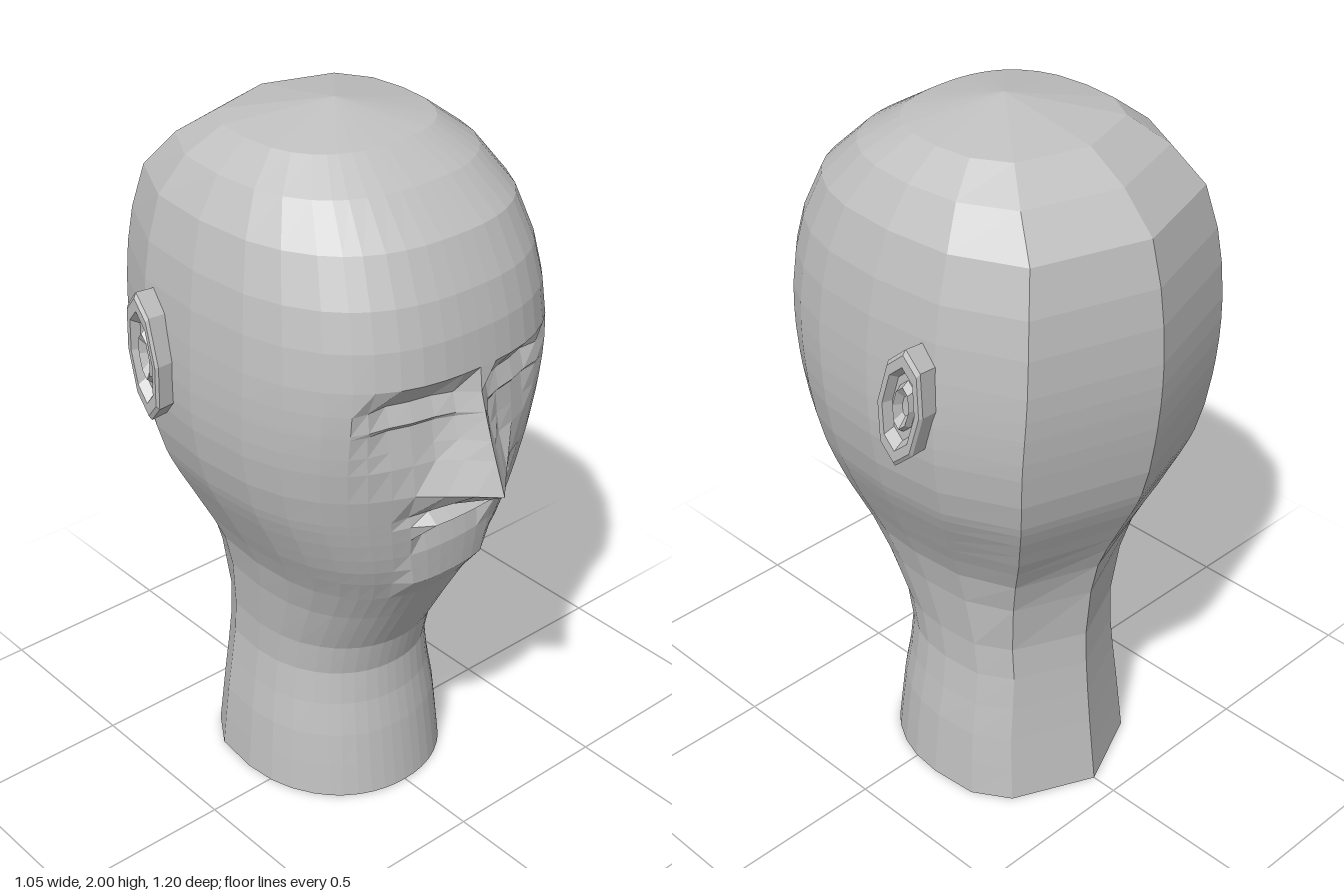
import * as THREE from 'three';

const { clamp } = THREE.MathUtils;

// Head profile by height: half width, front z, back z, smoothed between the knots
const KNOTS = [0, .2, .4, .5, .75, .87, 1.05, 1.22, 1.46, 1.66, 1.78, 1.88, 1.95];
const HALF_WIDTH = [.305, .288, .26, .262, .305, .36, .44, .475, .475, .45, .415, .35, .26];
const FRONT = [.255, .23, .205, .23, .365, .41, .445, .475, .498, .458, .4, .292, .178];
const BACK = [-.425, -.4, -.38, -.375, -.41, -.465, -.55, -.585, -.6, -.578, -.545, -.45, -.34];
const [widthAt, frontAt, backAt] = [HALF_WIDTH, FRONT, BACK].map((values) => {
  const spline = new THREE.CubicInterpolant(KNOTS, values, 1, [0]);
  return (y) => spline.evaluate(y)[0];
});

// Heights of the edge loops: neck, jaw and mouth, nose and eyes, skull
const LOOPS = [0, .1, .2, .3, .4, .5, .65, .75, .82, .87, .92, .975, 1.02, 1.05,
  1.13, 1.22, 1.27, 1.33, 1.342, 1.395, 1.46, 1.56, 1.66, 1.78, 1.88, 1.95];
// Columns of the front half, as shares of the half width
const COLUMNS = [0, .115, .23, .36, .48, .6, .69, .79, .9, .97, 1];

// Depth added to the face at a point beside the centre line
function faceRelief(x, y) {
  let z = 0;
  if (y > 1.1 && y < 1.42) {
    // Nose: widens and rises towards its tip
    const rise = (1.42 - y) / .29;
    z += .14 * rise ** 1.2 * Math.max(0, 1 - x / (.06 + .125 * rise ** 2)) ** 1.3;
    // Eye sockets: deepest under the brow, with a raised lid line
    const socket = .055 * clamp((y - 1.18) / .2, 0, 1) - (y === 1.342 ? .012 : 0);
    z -= socket * Math.min(1, x / .08) * clamp((.33 - x) / .1, 0, 1);
  }
  // Lips and chin
  if (y === 1.05 && x < .17) z -= .011;
  if (y === 1.02 && x < .12) z += .026;
  if (y === .975 && x < .12) z -= .02;
  if (y === .87 && x < .15) z += .009;
  if (y === .82 && x < .15) z += .022;
  return z;
}

// One closed loop: rounded front, flat-sided back with a corner and a centre ridge
function headRing(y) {
  const w = widthAt(y), front = frontAt(y), back = backAt(y), depth = front - back;
  const neck = clamp((.85 - y) / .3, 0, 1);
  const n = 2.5 - .4 * neck;
  const half = COLUMNS.map((u) => {
    const t = .5 + .5 * (1 - u ** n) ** (1 / n);
    return [u * w, y, back + t * depth + faceRelief(u * w, y)];
  });
  half.push([.96 * w, y, back + .3 * depth]);
  half.push([.75 * w, y, back + w * (.24 + .1 * neck)]);
  half.push([0, y, back]);
  const mirrored = half.slice(1, -1).reverse().map(([x, h, z]) => [-x, h, z]);
  return [...half, ...mirrored];
}

// Joins closed rings into a skin and closes the last ring to a tip
function loft(rings, tip, flip) {
  const n = rings[0].length;
  const index = [];
  const tri = (a, b, c) => index.push(...(flip ? [a, c, b] : [a, b, c]));
  rings.forEach((ring, j) => {
    for (let i = 0; i < n; i++) {
      const a = j * n + i, b = j * n + (i + 1) % n;
      if (j < rings.length - 1) {
        tri(a, b, b + n);
        tri(a, b + n, a + n);
      } else tri(a, b, rings.length * n);
    }
  });
  const geometry = new THREE.BufferGeometry();
  geometry.setAttribute('position', new THREE.Float32BufferAttribute([...rings.flat(), tip].flat(), 3));
  geometry.setIndex(index);
  const flat = geometry.toNonIndexed();
  flat.computeVertexNormals();
  return flat;
}

// Ear: leaning eight-sided ovals, stepping out to the rim and into the shell [size, x]
const EAR_STEPS = [[.97, .44], [1, .508], [.92, .516], [.72, .516], [.6, .49], [.44, .49], [.36, .508], [.18, .488]];

function earGeometry(side) {
  const cy = 1.38, cz = -.207;
  const rings = EAR_STEPS.map(([size, x]) => Array.from({ length: 8 }, (_, i) => {
    const angle = i * Math.PI / 4;
    const dy = .175 * size * Math.cos(angle);
    const dz = -.072 * size * Math.sin(angle) - .13 * dy;
    return [side * (x + .1 * dz), cy + dy, cz + dz];
  }));
  return loft(rings, [side * .486, cy, cz], side > 0);
}

export function createModel() {
  const group = new THREE.Group();
  group.name = 'mannequinHead';
  const grey = new THREE.MeshStandardMaterial({ color: 0xc0c0c0, flatShading: true, side: THREE.DoubleSide });
  grey.name = 'matte grey';

  // Head, face and open-bottomed neck in one skin
  const head = new THREE.Mesh(loft(LOOPS.map(headRing), [0, 2, -.05], false), grey);
  head.name = 'headAndNeck';
  group.add(head);

  for (const [name, side] of [['leftEar', 1], ['rightEar', -1]]) {
    const ear = new THREE.Mesh(earGeometry(side), grey);
    ear.name = name;
    group.add(ear);
  }
  return group;
}
